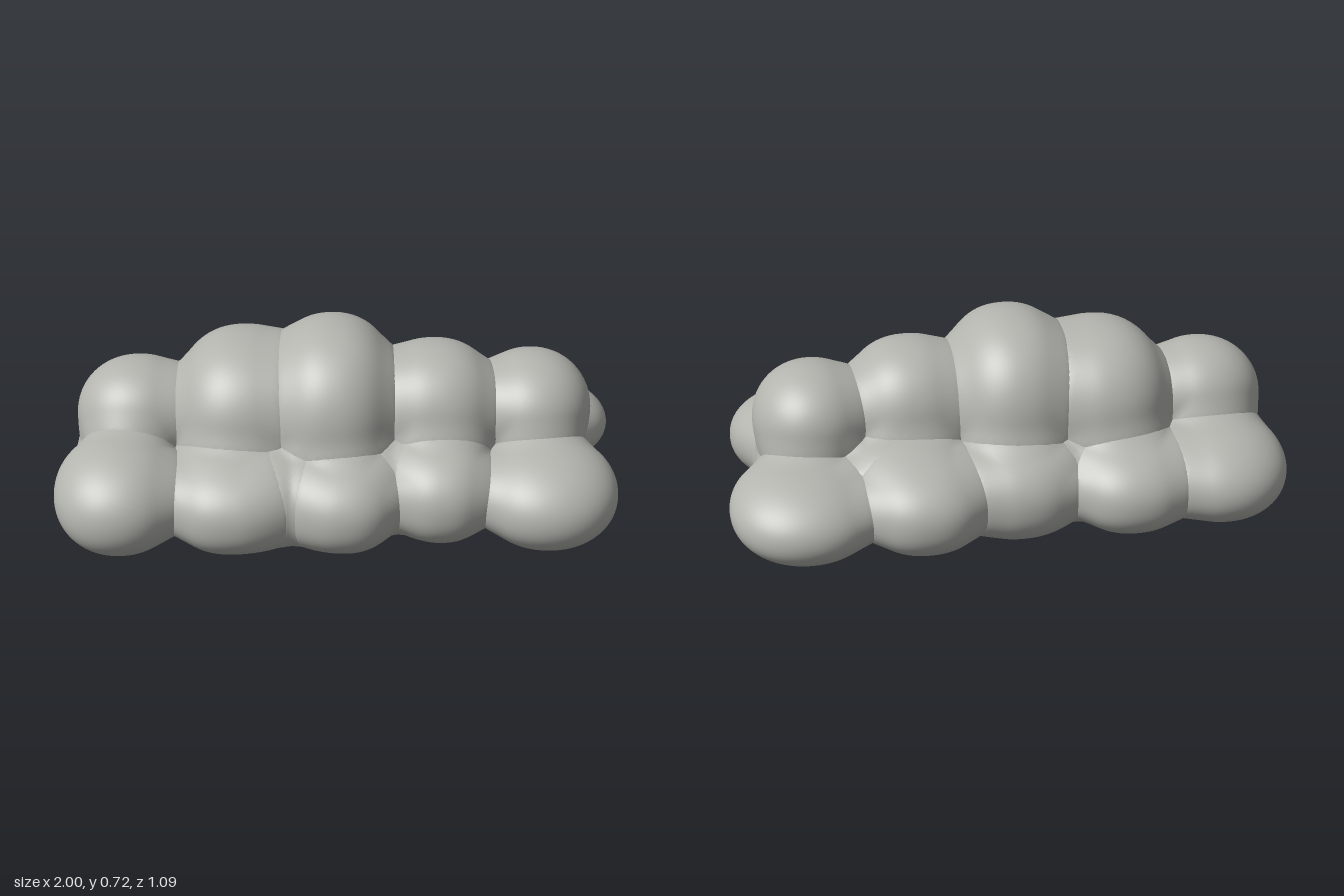
import * as THREE from 'three';
import { mergeVertices } from 'three/addons/utils/BufferGeometryUtils.js';

// Each puff: centre x, y, z, then radii x, y, z
const rows = {
  crownPuff: [
    [-0.72, 0.37, -0.025, 0.22, 0.20, 0.215],
    [-0.34, 0.37, -0.02, 0.26, 0.30, 0.315],
    [-0.03, 0.385, 0.01, 0.25, 0.34, 0.335],
    [0.33, 0.37, 0.02, 0.24, 0.27, 0.25],
    [0.68, 0.39, -0.005, 0.21, 0.20, 0.235],
  ],
  frontPuff: [
    [-0.77, 0.21, 0.29, 0.23, 0.185, 0.25],
    [-0.38, 0.20, 0.27, 0.24, 0.17, 0.26],
    [-0.19, 0.20, 0.24, 0.18, 0.165, 0.22],
    [0.00, 0.20, 0.28, 0.21, 0.17, 0.25],
    [0.34, 0.215, 0.25, 0.19, 0.175, 0.23],
    [0.71, 0.195, 0.28, 0.25, 0.17, 0.245],
  ],
  backPuff: [
    [-0.72, 0.20, -0.27, 0.25, 0.165, 0.265],
    [-0.39, 0.20, -0.28, 0.23, 0.165, 0.26],
    [0.00, 0.20, -0.25, 0.24, 0.175, 0.235],
    [0.34, 0.20, -0.29, 0.23, 0.165, 0.26],
    [0.74, 0.19, -0.29, 0.26, 0.15, 0.26],
  ],
  basePuff: [
    [-0.72, 0.19, 0.0, 0.235, 0.165, 0.25],
    [-0.37, 0.19, 0.12, 0.24, 0.185, 0.25],
    [-0.20, 0.19, -0.13, 0.25, 0.19, 0.25],
    [0.15, 0.19, 0.13, 0.25, 0.19, 0.25],
    [0.42, 0.19, -0.13, 0.24, 0.185, 0.25],
    [0.69, 0.19, 0.0, 0.2, 0.175, 0.25],
  ],
};
const puffs = Object.values(rows).flat();

// Inner puffs are slightly squared, the end puffs rounder
const power = (cx) => (Math.abs(cx) > 0.6 ? 2.08 : 2.25);
const roundNorm = (x, y, z, e) =>
  (Math.abs(x) ** e + Math.abs(y) ** e + Math.abs(z) ** e) ** (1 / e);

// Outer rows droop towards their outer edge
const droop = (z, cz) => (Math.abs(cz) > 0.2 ? -0.1 * Math.sign(cz) * (z - cz) : 0);

// Approximate distance from a point to one puff
function distance(p, [cx, cy, cz, rx, ry, rz]) {
  const x = (p.x - cx) / rx, z = (p.z - cz) / rz;
  const y = (p.y - cy - droop(p.z, cz)) / ry;
  const k = roundNorm(x, y, z, power(cx));
  const g = Math.hypot(x / rx, y / ry, z / rz);
  return g < 1e-6 ? -Math.min(rx, ry, rz) : k * (k - 1) / g;
}

// A puff swelling slightly where it meets its neighbours, to soften the creases
function puffGeometry(puff) {
  const [cx, cy, cz, rx, ry, rz] = puff;
  let geo = new THREE.IcosahedronGeometry(1, 14);
  geo.deleteAttribute('uv');
  geo.deleteAttribute('normal');
  geo = mergeVertices(geo, 1e-4);
  const pos = geo.attributes.position;
  const p = new THREE.Vector3(), n = new THREE.Vector3();
  const blend = 0.08;
  for (let i = 0; i < pos.count; i++) {
    p.fromBufferAttribute(pos, i);
    p.divideScalar(roundNorm(p.x, p.y, p.z, power(cx)));
    n.set(p.x / rx, p.y / ry, p.z / rz).normalize();
    p.set(cx + p.x * rx, cy + p.y * ry, cz + p.z * rz);
    p.y += droop(p.z, cz);
    let nearest = Infinity;
    for (const other of puffs) {
      if (other !== puff) nearest = Math.min(nearest, distance(p, other));
    }
    const h = Math.max(blend - Math.abs(nearest), 0) / blend;
    const swell = nearest > 0 ? h * h * blend / 4 : blend / 4;
    p.addScaledVector(n, swell);
    pos.setXYZ(i, p.x, Math.max(p.y, 0), p.z);
  }
  geo.computeVertexNormals();
  return geo;
}

export function createModel() {
  const cloud = new THREE.Group();
  cloud.name = 'cloud';
  const grey = new THREE.MeshStandardMaterial({ color: 0xb4b4af });
  grey.name = 'cloudGrey';

  for (const [name, row] of Object.entries(rows)) {
    row.forEach((puff, i) => {
      const mesh = new THREE.Mesh(puffGeometry(puff), grey);
      mesh.name = name + (i + 1);
      cloud.add(mesh);
    });
  }
  return cloud;
}
